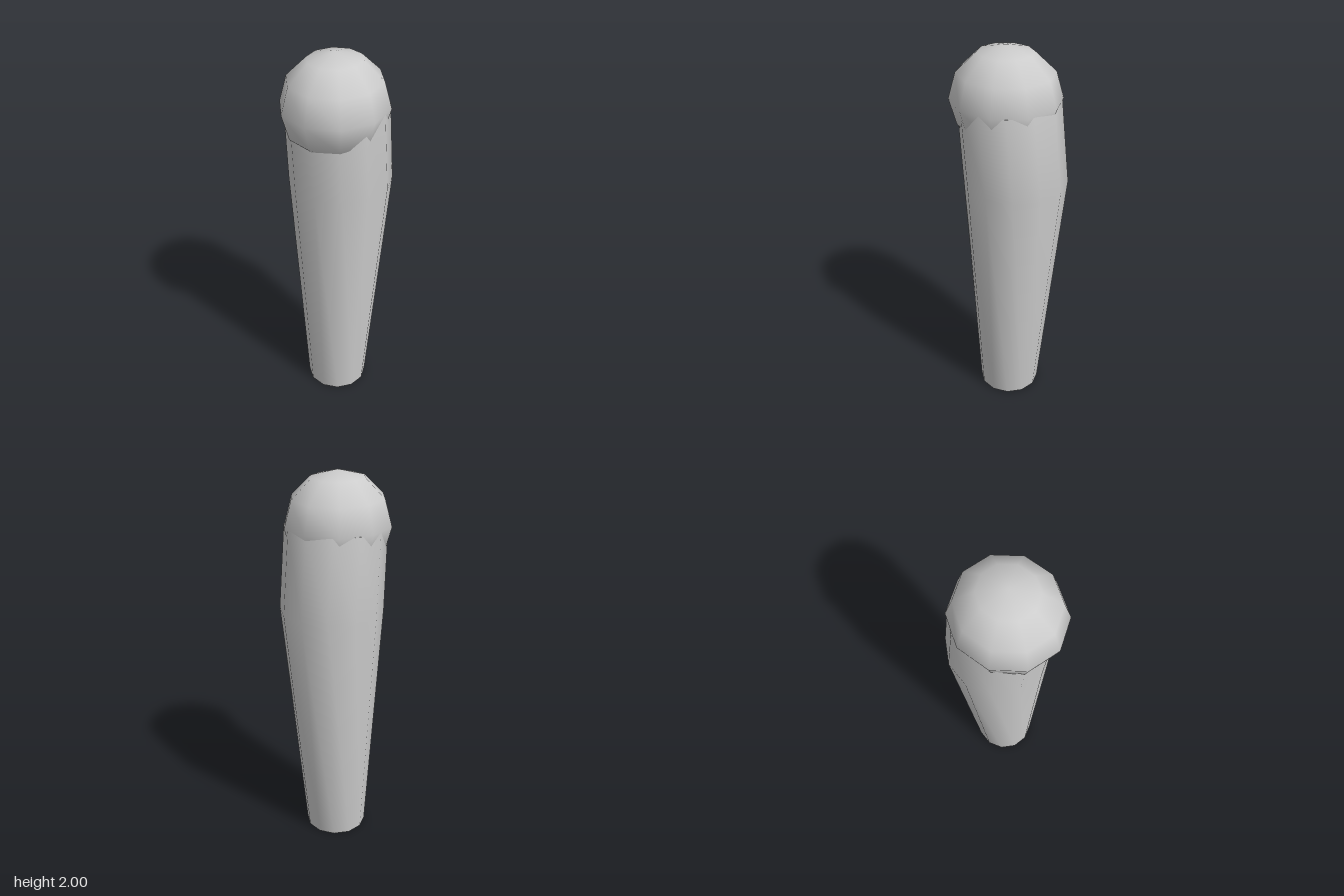
import * as THREE from 'three';
import { mergeVertices } from 'three/addons/utils/BufferGeometryUtils.js';

const SIDES = 12;

export function createModel() {
  const group = new THREE.Group();
  const grey = new THREE.MeshStandardMaterial({ color: 0xcccccc });
  grey.name = 'light grey';

  const add = (name, geometry) => {
    const mesh = new THREE.Mesh(geometry, grey);
    mesh.name = name;
    group.add(mesh);
    return mesh;
  };

  // Tapered limb: rings of radius, height and z offset (the middle bulges backwards)
  const rings = [
    { r: 0.163, y: 0, z: 0 },
    { r: 0.264, y: 1.31, z: -0.039 },
    { r: 0.256, y: 1.735, z: 0 },
  ];
  let limb = new THREE.LatheGeometry(rings.map(({ r, y }) => new THREE.Vector2(r, y)), SIDES);
  const pos = limb.attributes.position;
  for (let i = 0; i < pos.count; i++) {
    pos.setZ(i, pos.getZ(i) + rings[i % rings.length].z);
  }
  // Weld the seam so the shading stays smooth all round
  limb.deleteAttribute('uv');
  limb.deleteAttribute('normal');
  limb = mergeVertices(limb, 1e-4);
  limb.computeVertexNormals();
  add('limb', limb);

  // Flat end caps
  add('bottomCap', new THREE.CircleGeometry(rings[0].r, SIDES).rotateX(Math.PI / 2));
  add('topCap', new THREE.CircleGeometry(rings[2].r, SIDES).rotateX(-Math.PI / 2))
    .position.y = rings[2].y;

  // Rounded joint, set slightly forward
  const joint = new THREE.SphereGeometry(1, 10, 6, Math.PI / 2);
  joint.scale(0.269, 0.265, 0.2825);
  add('roundJoint', joint).position.set(0, 1.735, 0.018);

  return group;
}
